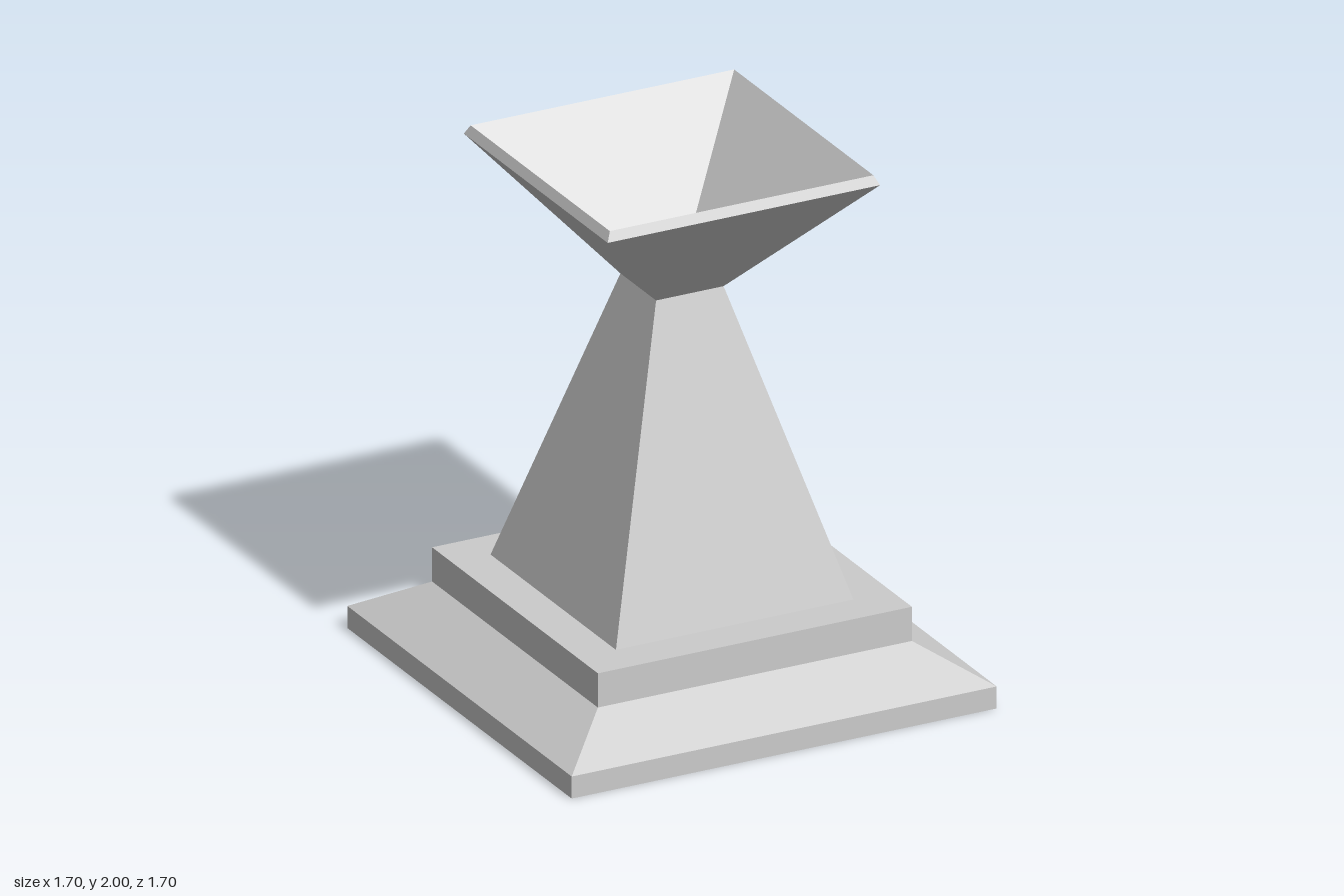
import * as THREE from 'three';

const material = new THREE.MeshStandardMaterial({ color: 0xcccccc, flatShading: true });

// Square-plan solid from a profile of [half width, height] points, bottom to top
function squareTurned(name, profile) {
  const points = profile.map(([half, y]) => new THREE.Vector2(half * Math.SQRT2, y));
  const turned = new THREE.LatheGeometry(points, 4, Math.PI / 4);
  const geometry = turned.toNonIndexed();
  geometry.computeVertexNormals();
  const mesh = new THREE.Mesh(geometry, material);
  mesh.name = name;
  return mesh;
}

export function createModel() {
  const model = new THREE.Group();
  model.name = 'pedestalBowl';

  // Stepped foot: slab, sloping shoulder and upright plinth
  model.add(squareTurned('base', [
    [0, 0], [0.85, 0], [0.85, 0.085], [0.628, 0.22], [0.628, 0.352], [0, 0.352],
  ]));

  // Tapering column
  model.add(squareTurned('column', [[0.475, 0.352], [0.135, 1.5]]));

  // Flared bowl with a bevelled rim, hollow down to a small floor
  model.add(squareTurned('bowl', [
    [0.135, 1.5], [0.545, 1.965], [0.527, 2], [0.106, 1.53], [0, 1.53],
  ]));

  return model;
}
